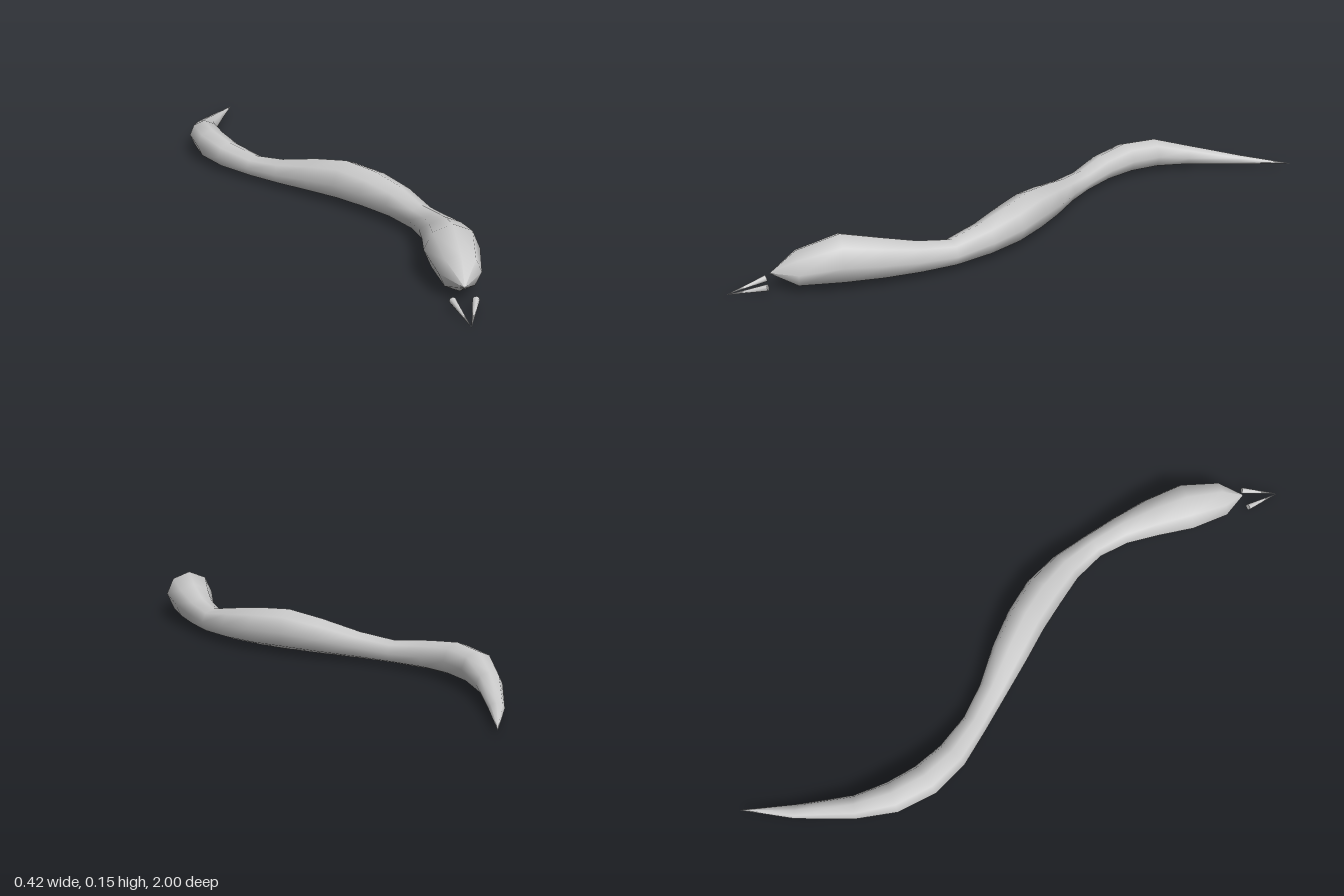
import * as THREE from 'three';

const SIDES = 8;

// Body stations from tail to snout: [x, z, half width, bottom y, top y]
const STATIONS = [
  [0.10, -1.00, 0, 0.016, 0.016],
  [-0.005, -0.865, 0.022, 0.01, 0.04],
  [-0.103, -0.712, 0.037, 0.01, 0.077],
  [-0.148, -0.603, 0.05, 0.01, 0.108],
  [-0.161, -0.492, 0.053, 0.01, 0.11],
  [-0.143, -0.381, 0.048, 0.01, 0.096],
  [-0.098, -0.267, 0.04, 0.01, 0.08],
  [-0.045, -0.163, 0.044, 0.01, 0.092],
  [0.021, -0.052, 0.058, 0.01, 0.12],
  [0.077, 0.05, 0.063, 0.01, 0.138],
  [0.122, 0.152, 0.064, 0.01, 0.13],
  [0.154, 0.26, 0.053, 0.01, 0.113],
  [0.167, 0.376, 0.043, 0.01, 0.091],
  [0.156, 0.48, 0.049, 0.01, 0.108],
  [0.13, 0.583, 0.065, 0.01, 0.133],
  [0.093, 0.69, 0.078, 0.01, 0.157],
  [0.053, 0.808, 0.058, 0.014, 0.12],
  [0.026, 0.88, 0, 0.057, 0.057],
];

// Lofts eight-sided rings, each square to the winding path
function bodyGeometry() {
  const positions = [];
  const index = [];
  STATIONS.forEach(([x, z, w, low, high], i) => {
    const prev = STATIONS[Math.max(i - 1, 0)];
    const next = STATIONS[Math.min(i + 1, STATIONS.length - 1)];
    const dir = new THREE.Vector2(next[0] - prev[0], next[1] - prev[1]).normalize();
    for (let j = 0; j < SIDES; j++) {
      const a = (j / SIDES) * Math.PI * 2;
      const across = Math.cos(a) * w;
      positions.push(
        x + dir.y * across,
        (low + high) / 2 + Math.sin(a) * (high - low) / 2,
        z - dir.x * across
      );
      if (i < STATIONS.length - 1) {
        const p = i * SIDES + j;
        const q = i * SIDES + (j + 1) % SIDES;
        index.push(p, q, p + SIDES, q, q + SIDES, p + SIDES);
      }
    }
  });
  const geometry = new THREE.BufferGeometry();
  geometry.setAttribute('position', new THREE.Float32BufferAttribute(positions, 3));
  geometry.setIndex(index);
  geometry.computeVertexNormals();
  return geometry;
}

// Slim cone running from the centre of its base to its tip
function spike(name, base, tip, radius, material) {
  const axis = tip.clone().sub(base);
  const mesh = new THREE.Mesh(new THREE.ConeGeometry(radius, axis.length(), SIDES), material);
  mesh.position.copy(base).lerp(tip, 0.5);
  mesh.quaternion.setFromUnitVectors(new THREE.Vector3(0, 1, 0), axis.normalize());
  mesh.name = name;
  return mesh;
}

export function createModel() {
  const group = new THREE.Group();
  group.name = 'serpent';
  const material = new THREE.MeshStandardMaterial({ color: 0xcccccc });

  const body = new THREE.Mesh(bodyGeometry(), material);
  body.name = 'body';
  group.add(body);

  // Two tines in front of the snout, meeting at one point
  const tip = new THREE.Vector3(-0.018, 0.003, 0.995);
  group.add(spike('rightTine', new THREE.Vector3(-0.008, 0.028, 0.877), tip, 0.01, material));
  group.add(spike('leftTine', new THREE.Vector3(0.051, 0.028, 0.897), tip, 0.01, material));
  return group;
}
